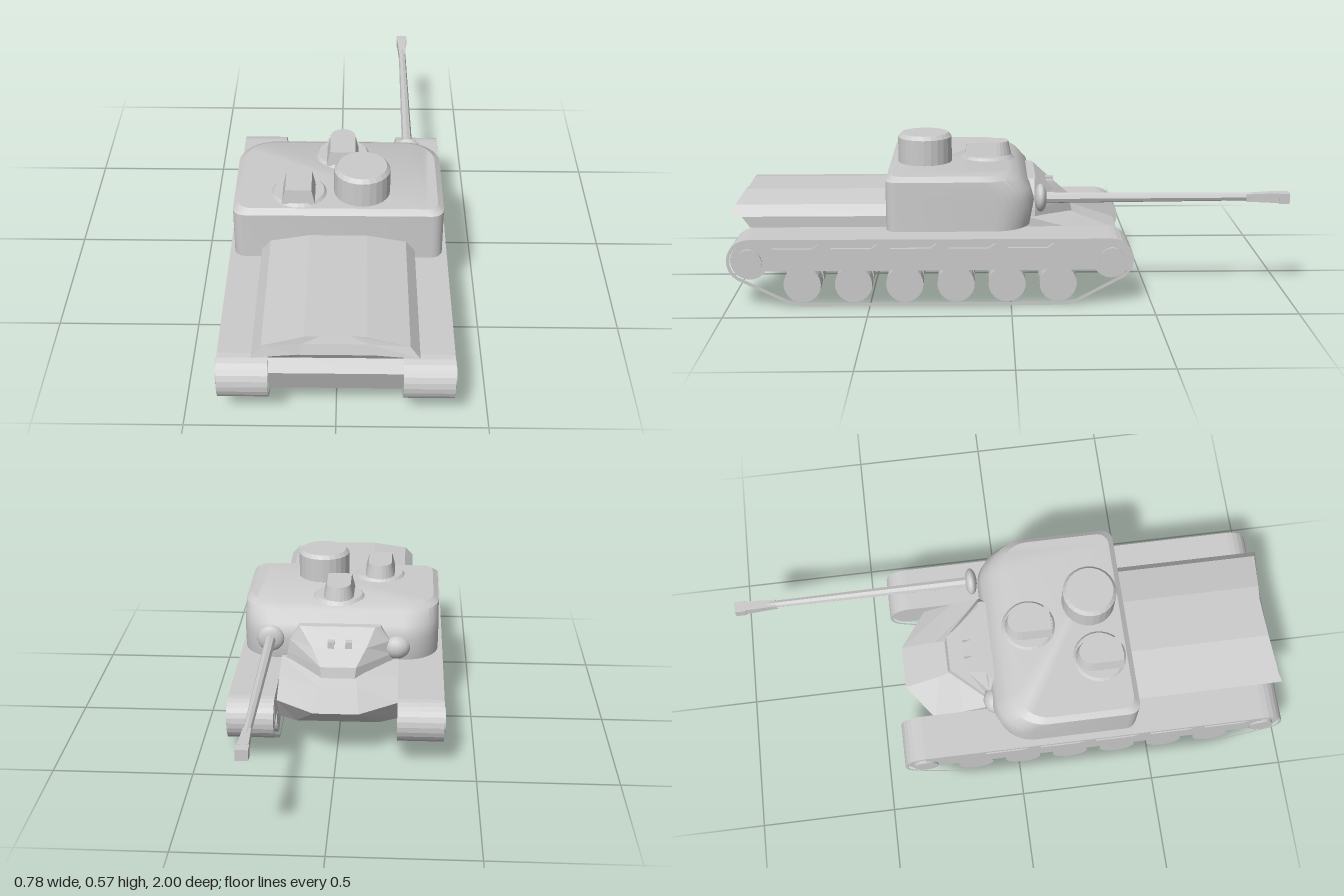
import * as THREE from 'three';
import { toCreasedNormals } from 'three/addons/utils/BufferGeometryUtils.js';

const grey = new THREE.MeshStandardMaterial({ color: 0xcccccc, flatShading: true });
const smooth = new THREE.MeshStandardMaterial({ color: 0xcccccc });

function add(parent, name, geometry, material = grey, x = 0, y = 0, z = 0) {
  const mesh = new THREE.Mesh(geometry, material);
  mesh.name = name;
  mesh.position.set(x, y, z);
  parent.add(mesh);
  return mesh;
}

// Right half of an outline, listed from rear to front, completed by its mirror
const mirrored = half => [...half, ...half.slice().reverse().map(([x, z]) => [-x, z])];

// Closed solid through stacked outlines: [[y, [[x, z], ...]], ...] from bottom to top
function loft(layers) {
  const pos = [];
  const rings = layers.map(([y, pts]) => pts.map(([x, z]) => [x, y, z]));
  const tri = (a, b, c) => pos.push(...a, ...b, ...c);
  const n = rings[0].length;
  for (let k = 0; k < rings.length - 1; k++) {
    for (let i = 0; i < n; i++) {
      const j = (i + 1) % n, lo = rings[k], hi = rings[k + 1];
      tri(lo[i], lo[j], hi[i]);
      tri(lo[j], hi[j], hi[i]);
    }
  }
  const bottom = rings[0], top = rings[rings.length - 1];
  for (let i = 1; i < n - 1; i++) {
    tri(top[0], top[i], top[i + 1]);
    tri(bottom[0], bottom[i + 1], bottom[i]);
  }
  const g = new THREE.BufferGeometry();
  g.setAttribute('position', new THREE.Float32BufferAttribute(pos, 3));
  g.computeVertexNormals();
  return g;
}

// Side profile given as [z, y] points, extruded across x from x0 to x1
function slab(pts, holes, x0, x1) {
  const vec = list => list.map(p => new THREE.Vector2(...p));
  const shape = new THREE.Shape(vec(pts));
  holes.forEach(h => shape.holes.push(new THREE.Path(vec(h))));
  const g = new THREE.ExtrudeGeometry(shape, { depth: x1 - x0, bevelEnabled: false });
  return g.rotateY(-Math.PI / 2).translate(x1, 0, 0);
}

function arc(cx, cy, r, fromDeg, toDeg, steps = 10) {
  return Array.from({ length: steps + 1 }, (_, i) => {
    const a = THREE.MathUtils.degToRad(fromDeg + (toDeg - fromDeg) * i / steps);
    return [cx + r * Math.cos(a), cy + r * Math.sin(a)];
  });
}

const REAR = [0.92, 0.165], FRONT = [-0.355, 0.165];

function trackOutline(t) {
  return [...arc(...REAR, 0.08 - t, 90, -55), [0.79, 0.012 + t], [0.74, t],
    [-0.19, t], [-0.23, 0.01 + t], ...arc(...FRONT, 0.078 - t, 235, 90)];
}

function runningGear(side) {
  const g = new THREE.Group();
  g.name = side > 0 ? 'leftTrackUnit' : 'rightTrackUnit';
  const across = (pts, holes, a, b) => slab(pts, holes, ...(side > 0 ? [a, b] : [-b, -a]));
  const disc = (name, r, z, y, a, b) =>
    add(g, name, new THREE.CylinderGeometry(r, r, b - a, 24).rotateZ(Math.PI / 2), grey, side * (a + b) / 2, y, z);

  add(g, 'trackBand', across(trackOutline(0), [trackOutline(0.012)], 0.218, 0.384));

  // Guard panel with a row of shallow slots along its top
  const slots = [0, 1, 2, 3, 4].map(i => {
    const z = 0.77 - i * 0.207;
    return [[z - 0.07, 0.21], [z + 0.07, 0.21], [z + 0.095, 0.228], [z - 0.095, 0.228]];
  });
  const panel = [[0.9, 0.13], [0.92, 0.233], [-0.355, 0.233], [-0.33, 0.13]];
  add(g, 'sidePanel', across(panel, slots, 0.37, 0.383));
  add(g, 'panelBacking', across(panel, [], 0.222, 0.37));

  // Road wheels in pairs, end wheels and their raised caps
  for (let i = 0; i < 6; i++) {
    const z = 0.738 - i * 0.181;
    disc('roadWheelOuter', 0.066, z, 0.077, 0.31, 0.375);
    disc('roadWheelInner', 0.066, z, 0.077, 0.225, 0.285);
  }
  for (const [z, y] of [REAR, FRONT]) {
    disc('endWheel', 0.067, z, y, 0.225, 0.376);
    disc('endWheelCap', 0.045, z, y, 0.376, 0.39);
  }
  return g;
}

// Turret outline: small rear corners, large front corners
function turretOutline(inset, front) {
  const w = 0.365 - inset, back = 0.44 - inset, r = 0.13 - inset;
  return mirrored([
    ...arc(w - 0.04, back - 0.04, 0.04, 90, 0, 4),
    ...arc(w - r, front + r, r, 0, -90, 8),
  ]);
}

// Hatch disc with a tapered periscope hood, flat behind and rounded in front
function hatch(name, x, z) {
  const g = new THREE.Group();
  g.name = name;
  add(g, 'hatchDisc', new THREE.CylinderGeometry(0.088, 0.1, 0.014, 28), grey, 0, 0.463, 0);
  const hood = (w, back, front) => mirrored([[w, back], ...arc(0, front + w, w, 0, -80, 5)]);
  add(g, 'periscopeHood', loft([[0.465, hood(0.058, 0.083, -0.09)], [0.52, hood(0.045, 0.078, -0.078)]]));
  g.position.set(x, 0, z);
  return g;
}

export function createModel() {
  const tank = new THREE.Group();
  tank.name = 'tank';

  // Hull with pointed bow and sloping glacis
  const hullLayer = (y, rear, shoulder, tipX, tip) =>
    [y, mirrored([[0.218, rear], [0.218, shoulder], [tipX, tip]])];
  add(tank, 'hull', loft([
    hullLayer(0.088, 0.88, -0.2, 0.16, -0.22),
    hullLayer(0.105, 0.93, -0.23, 0.15, -0.27),
    hullLayer(0.2, 0.965, -0.3, 0.08, -0.4),
    hullLayer(0.245, 0.93, -0.19, 0.07, -0.27),
    hullLayer(0.275, 0.93, -0.08, 0.06, -0.2),
  ]));

  // Crowned engine deck overhanging the rear
  const deckLayer = (y, w, rear, mid) => [y, mirrored([[w * 0.45, mid], [w, rear], [w, 0.38]])];
  add(tank, 'engineDeck', loft([
    deckLayer(0.245, 0.218, 0.94, 0.94),
    deckLayer(0.288, 0.22, 0.97, 0.965),
    deckLayer(0.298, 0.267, 1.0, 0.985),
    deckLayer(0.335, 0.235, 0.985, 0.975),
    deckLayer(0.36, 0.1, 0.97, 0.965),
  ]));

  for (const side of [1, -1]) tank.add(runningGear(side));

  // Turret body
  const turret = new THREE.Group();
  turret.name = 'turret';
  tank.add(turret);
  add(turret, 'turretBody', toCreasedNormals(loft([
    [0.266, turretOutline(0, -0.07)],
    [0.35, turretOutline(0, -0.085)],
    [0.4, turretOutline(0, -0.07)],
    [0.443, turretOutline(0, -0.03)],
    [0.46, turretOutline(0.02, 0.005)],
  ]), 0.5), smooth);

  // Sloped nose plate between the cheeks, with twin sights
  const noseLayer = (y, w, tipX, tip) => [y, mirrored([[w, 0], [w, -0.09], [tipX, tip]])];
  add(turret, 'turretNose', loft([
    noseLayer(0.255, 0.2, 0.06, -0.235),
    noseLayer(0.3, 0.195, 0.065, -0.225),
    noseLayer(0.35, 0.185, 0.1, -0.16),
    noseLayer(0.405, 0.15, 0.13, -0.095),
  ]));
  for (const x of [-0.035, 0.03]) {
    add(turret, 'sight', new THREE.BoxGeometry(0.024, 0.024, 0.03), grey, x, 0.36, -0.152);
  }
  const cheek = add(turret, 'rightCheek', new THREE.SphereGeometry(0.05, 16, 12), smooth, -0.21, 0.32, -0.075);
  cheek.scale.set(1, 0.9, 0.8);

  // Gun offset to the left, with mantlet and square muzzle
  const mantlet = add(turret, 'gunMantlet', new THREE.SphereGeometry(0.05, 18, 12), smooth, 0.255, 0.36, -0.108);
  mantlet.scale.set(1, 1, 0.45);
  const barrel = new THREE.LatheGeometry(
    [[0, 0], [0.02, 0], [0.014, 0.77], [0, 0.77]].map(p => new THREE.Vector2(...p)), 8);
  add(turret, 'gunBarrel', barrel.rotateX(-Math.PI / 2), grey, 0.255, 0.36, -0.11);
  const muzzle = new THREE.CylinderGeometry(0.026, 0.019, 0.12, 4).rotateY(Math.PI / 4).rotateX(-Math.PI / 2);
  add(turret, 'muzzleTaper', muzzle, grey, 0.255, 0.358, -0.905);
  add(turret, 'muzzleBlock', new THREE.BoxGeometry(0.042, 0.038, 0.038), grey, 0.255, 0.356, -0.981);

  // Roof fittings
  const cupola = [[0, 0.455], [0.098, 0.455], [0.098, 0.552], [0.086, 0.566], [0, 0.566]];
  add(turret, 'commanderCupola', new THREE.LatheGeometry(cupola.map(p => new THREE.Vector2(...p)), 24),
    grey, 0.082, 0, 0.31);
  turret.add(hatch('frontHatch', 0.012, 0.08), hatch('rearHatch', -0.138, 0.32));
  return tank;
}
